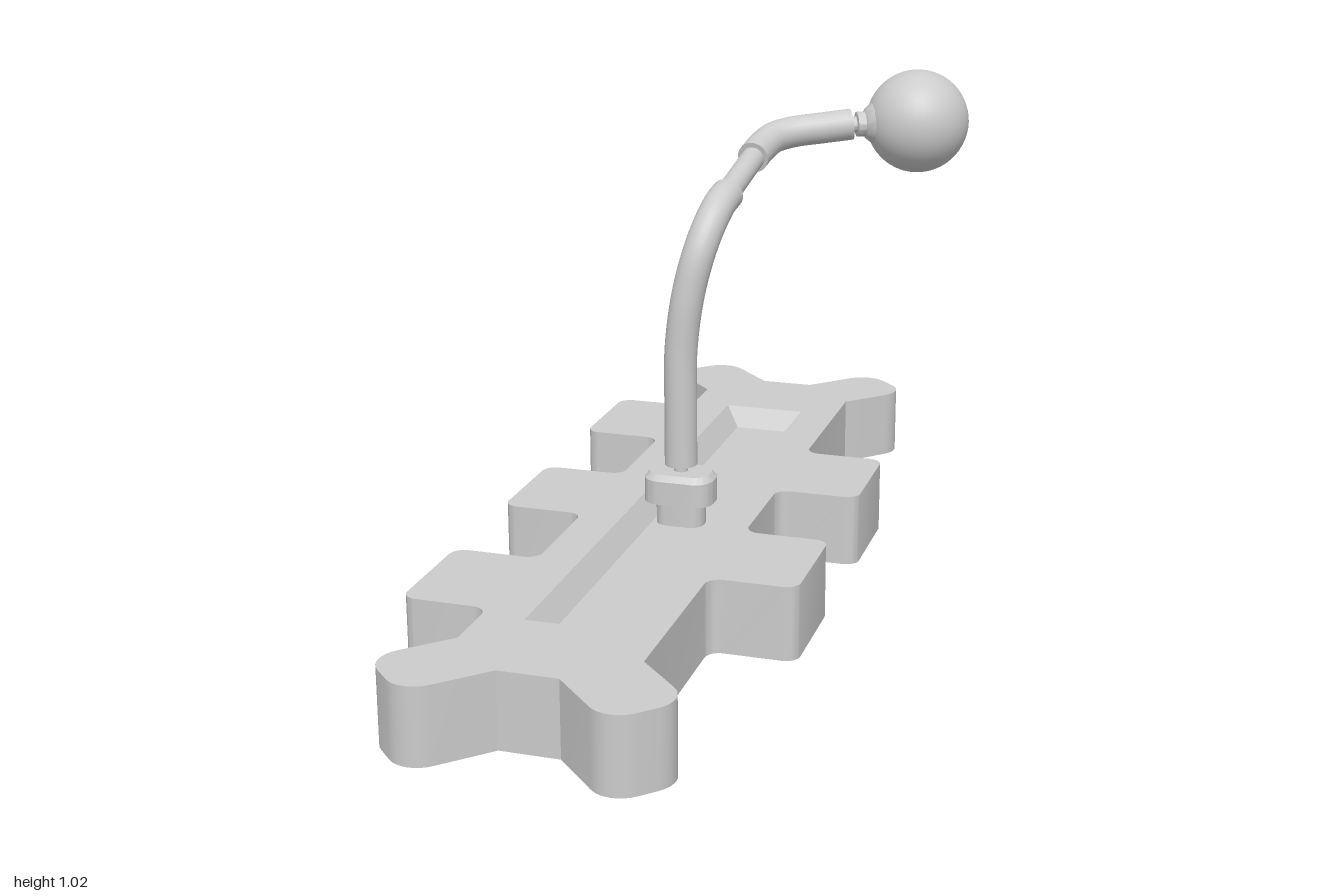
import * as THREE from 'three';
import { toCreasedNormals } from 'three/addons/utils/BufferGeometryUtils.js';

const CX = -0.07, TOP = 0.157, FLOOR = 0.112;
const V = (x, y, z) => new THREE.Vector3(x, y, z);
const material = new THREE.MeshStandardMaterial({ color: 0xcccccc, side: THREE.DoubleSide });

function add(parent, name, geometry) {
  const mesh = new THREE.Mesh(geometry, material);
  mesh.name = name;
  parent.add(mesh);
  return mesh;
}

// Closed shape through corners [x, y, radius], each rounded by its radius
function roundedShape(corners) {
  const shape = new THREE.Shape();
  const n = corners.length, k = 0.5523;
  corners.forEach(([x, y, r = 0], i) => {
    const p = new THREE.Vector2(x, y);
    const toward = (c, d) => p.clone().add(new THREE.Vector2(c[0] - x, c[1] - y).setLength(d));
    const prev = corners[(i + n - 1) % n], next = corners[(i + 1) % n];
    const a = r ? toward(prev, r) : p, b = r ? toward(next, r) : p;
    if (i === 0) shape.moveTo(a.x, a.y); else shape.lineTo(a.x, a.y);
    if (r) {
      const c1 = a.clone().lerp(p, k), c2 = b.clone().lerp(p, k);
      shape.bezierCurveTo(c1.x, c1.y, c2.x, c2.y, b.x, b.y);
    }
  });
  return shape;
}

const rect = (w, d, r = 0) => roundedShape(
  [[-w, -d, r], [w, -d, r], [w, d, r], [-w, d, r]].map(([x, y, q]) => [x + CX, y, q]));

function loopOf(shape) {
  const pts = shape.getPoints(8);
  return pts.filter((p, i) => p.distanceTo(pts[(i + 1) % pts.length]) > 1e-5);
}

// Side surface joining level loops, given as [shape, height]
function loft(levels) {
  const loops = levels.map(([s, h]) => loopOf(s).map(p => [p.x, h, -p.y]));
  const pos = [];
  for (let l = 0; l + 1 < loops.length; l++) {
    const lo = loops[l], hi = loops[l + 1], n = lo.length;
    for (let i = 0; i < n; i++) {
      const j = (i + 1) % n;
      pos.push(...lo[i], ...lo[j], ...hi[j], ...lo[i], ...hi[j], ...hi[i]);
    }
  }
  const g = new THREE.BufferGeometry();
  g.setAttribute('position', new THREE.Float32BufferAttribute(pos, 3));
  return toCreasedNormals(g, 0.5);
}

const flat = (shape, h) => new THREE.ShapeGeometry(shape, 8).rotateX(-Math.PI / 2).translate(0, h, 0);

// Round bar along a curve, closed by discs
function bar(parent, name, curve, radius) {
  const group = new THREE.Group();
  group.name = name;
  add(group, name + 'Side', new THREE.TubeGeometry(curve, 40, radius, 24));
  [[0, -1], [1, 1]].forEach(([t, s]) => {
    const cap = add(group, name + 'End', new THREE.CircleGeometry(radius, 24));
    cap.position.copy(curve.getPointAt(t));
    cap.quaternion.setFromUnitVectors(V(0, 0, 1), curve.getTangentAt(t).multiplyScalar(s));
  });
  parent.add(group);
}

function plateOutline() {
  // Corner horn, from the long side to the end notch
  const horn = [[0.18, 0.79], [0.305, 0.915, 0.06], [0.19, 1.03, 0.06], [0.06, 0.9]];
  const place = (sx, sy) => horn.map(([x, y, r]) => [CX + sx * x, sy * y, r]);
  // Tab standing out from a long side, listed toward +y
  const tab = (s, y) => [[0.18, y - 0.13], [0.36, y - 0.13], [0.36, y + 0.13], [0.18, y + 0.13]]
    .map(([x, v]) => [CX + s * x, v, 0.03]);
  return roundedShape([
    ...place(1, -1).reverse(),
    ...[-0.26, 0.26].flatMap(y => tab(1, y)),
    ...place(1, 1),
    ...place(-1, 1).reverse(),
    ...[0.52, 0, -0.52].flatMap(y => tab(-1, y).reverse()),
    ...place(-1, -1),
  ]);
}

export function createModel() {
  const model = new THREE.Group();
  model.name = 'lever';

  // Base plate: hollow below, with a sloped slot on top
  const base = new THREE.Group();
  base.name = 'base';
  model.add(base);
  const outline = plateOutline();
  const slotTop = rect(0.093, 0.68), slotFloor = rect(0.06, 0.65);
  add(base, 'baseWall', loft([[outline, 0], [outline, TOP]]));
  add(base, 'slotWall', loft([[slotTop, TOP], [slotFloor, FLOOR]]));
  add(base, 'slotFloor', flat(slotFloor, FLOOR));
  const topShape = outline.clone();
  topShape.holes.push(new THREE.Path(loopOf(slotTop).reverse()));
  add(base, 'baseTop', flat(topShape, TOP));

  // Sliding foot and its chamfered collar
  const foot = rect(0.053, 0.034, 0.03);
  add(model, 'foot', loft([[foot, 0.09], [foot, 0.166]]));
  add(model, 'footBottom', flat(foot, 0.09));
  const collar = rect(0.076, 0.052, 0.04), collarTop = rect(0.066, 0.042, 0.034);
  add(model, 'collar', loft([[collar, 0.165], [collar, 0.217], [collarTop, 0.23]]));
  add(model, 'collarBottom', flat(collar, 0.165));
  add(model, 'collarTop', flat(collarTop, 0.23));

  // Bent stick: thick grips joined by thin rods
  add(model, 'pin', new THREE.CylinderGeometry(0.015, 0.015, 0.05, 20).translate(CX, 0.235, 0));
  bar(model, 'lowerArm', new THREE.CatmullRomCurve3([
    V(CX, 0.245, 0), V(CX, 0.36, 0), V(-0.069, 0.5, 0), V(-0.054, 0.62, -0.003),
    V(-0.033, 0.715, -0.02), V(-0.018, 0.775, -0.06), V(-0.011, 0.803, -0.105), V(-0.008, 0.811, -0.14),
  ]), 0.035);
  bar(model, 'middleRod', new THREE.LineCurve3(V(-0.009, 0.808, -0.125), V(-0.004, 0.858, -0.345)), 0.026);
  bar(model, 'upperArm', new THREE.CatmullRomCurve3([
    V(-0.004, 0.855, -0.325), V(0, 0.868, -0.385), V(0.015, 0.882, -0.433),
    V(0.052, 0.891, -0.466), V(0.11, 0.898, -0.492), V(0.172, 0.905, -0.52),
  ]), 0.035);

  // Ball knob on a stepped neck
  const knob = V(0.31, 0.908, -0.587), neckStart = V(0.165, 0.904, -0.517);
  const profile = [[0, 0], [0.018, 0], [0.018, 0.018], [0.028, 0.02], [0.028, 0.038],
    [0.033, 0.04], [0.046, 0.055], [0.046, 0.07]].map(p => new THREE.Vector2(...p));
  const neck = add(model, 'knobNeck', toCreasedNormals(new THREE.LatheGeometry(profile, 28), 0.5));
  neck.position.copy(neckStart);
  neck.quaternion.setFromUnitVectors(V(0, 1, 0), knob.clone().sub(neckStart).normalize());
  add(model, 'knob', new THREE.SphereGeometry(0.116, 40, 28)).position.copy(knob);

  return model;
}
